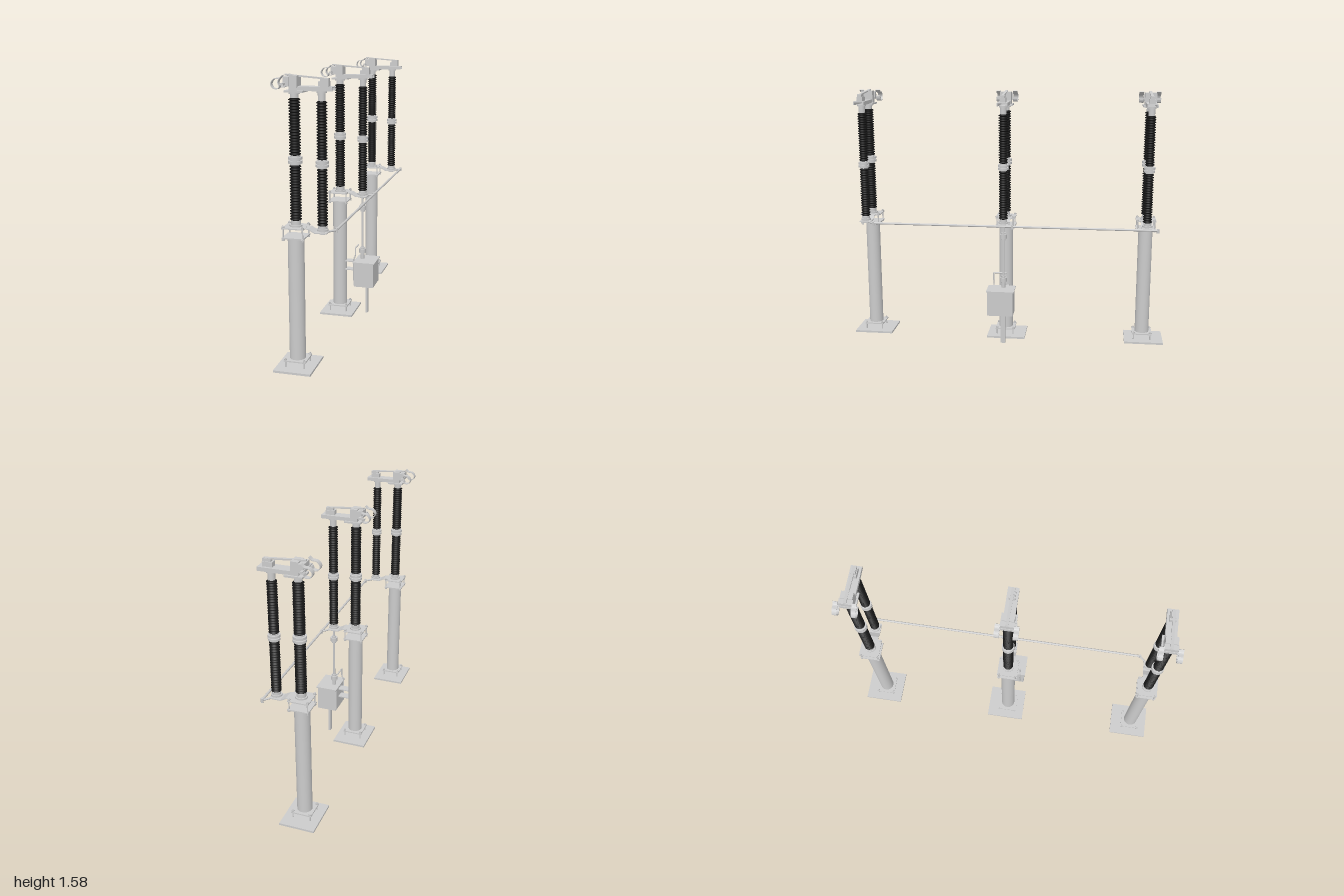
import * as THREE from 'three';

const grey = new THREE.MeshStandardMaterial({ color: 0xcccccc, side: THREE.DoubleSide });
const dark = new THREE.MeshStandardMaterial({ color: 0x141414 });
const V = (x, y, z) => new THREE.Vector3(x, y, z);

function add(parent, name, geometry, x = 0, y = 0, z = 0, material = grey) {
  const mesh = new THREE.Mesh(geometry, material);
  mesh.name = name;
  mesh.position.set(x, y, z);
  parent.add(mesh);
  return mesh;
}

// Box given by its limits in x and y, and its centre and width in z
function block(parent, name, x0, x1, y0, y1, width, z = 0) {
  return add(parent, name, new THREE.BoxGeometry(x1 - x0, y1 - y0, width), (x0 + x1) / 2, (y0 + y1) / 2, z);
}

// Upright cylinder from y0 to y1
function post(parent, name, x, z, y0, y1, r, sides = 24) {
  return add(parent, name, new THREE.CylinderGeometry(r, r, y1 - y0, sides), x, (y0 + y1) / 2, z);
}

// Round bar between two points
function bar(parent, name, a, b, r) {
  const mesh = add(parent, name, new THREE.CylinderGeometry(r, r, a.distanceTo(b), 12));
  mesh.position.copy(a).lerp(b, 0.5);
  mesh.quaternion.setFromUnitVectors(V(0, 1, 0), b.clone().sub(a).normalize());
  return mesh;
}

// Bent strip of metal: a thickened path in xy, extruded across z
function strip(parent, name, points, thickness, width, z = 0) {
  const path = points.map(([x, y]) => new THREE.Vector2(x, y));
  const side = (s) => path.map((p, i) => {
    const t = path[Math.min(i + 1, path.length - 1)].clone().sub(path[Math.max(i - 1, 0)]).normalize();
    return new THREE.Vector2(p.x - t.y * s, p.y + t.x * s);
  });
  const shape = new THREE.Shape([...side(-thickness / 2), ...side(thickness / 2).reverse()]);
  const geometry = new THREE.ExtrudeGeometry(shape, { depth: width, bevelEnabled: false });
  return add(parent, name, geometry, 0, 0, z - width / 2);
}

// Stack of thin sheds between y0 and y1
function sheds(parent, x, y0, y1, r) {
  const count = 20, pitch = (y1 - y0) / count, profile = [new THREE.Vector2(0.001, y0)];
  for (let i = 0; i < count; i++) {
    const y = y0 + i * pitch;
    profile.push(new THREE.Vector2(r * 0.72, y), new THREE.Vector2(r, y + pitch * 0.35),
      new THREE.Vector2(r, y + pitch * 0.5), new THREE.Vector2(r * 0.72, y + pitch * 0.9));
  }
  profile.push(new THREE.Vector2(0.001, y1));
  add(parent, 'insulatorSheds', new THREE.LatheGeometry(profile, 24), x, 0, 0, dark);
}

// Two shed stacks with metal fittings; levels run from the foot to the top
function insulator(parent, x, r, [foot, a, b, c, d, top]) {
  const g = new THREE.Group();
  g.name = 'insulator';
  parent.add(g);
  post(g, 'insulatorFootFlange', x, 0, foot, foot + 0.01, r * 1.1);
  post(g, 'insulatorFoot', x, 0, foot, a, r * 0.85);
  sheds(g, x, a, b, r);
  post(g, 'middleFitting', x, 0, b, c, r * 0.85);
  const h = c - b;
  for (const k of [0.3, 0.7]) {
    post(g, 'middleFlange', x, 0, b + h * (k - 0.14), b + h * (k + 0.14), r * 1.2);
  }
  sheds(g, x, c, d, r);
  post(g, 'insulatorCap', x, 0, d, top, r * 0.7);
  post(g, 'insulatorCapFlange', x, 0, top - 0.012, top, r * 0.95);
}

const COL = -0.073, REAR = 0.074;

function createPole(z) {
  const g = new THREE.Group();
  g.name = 'pole';
  g.position.z = z;

  // Base plate, column and flanges
  block(g, 'basePlate', -0.178, 0.032, 0, 0.012, 0.244, -0.009);
  block(g, 'columnFootFlange', COL - 0.062, COL + 0.062, 0.045, 0.052, 0.124);
  post(g, 'column', COL, 0, 0.05, 0.735, 0.044, 32);
  block(g, 'columnTopFlange', COL - 0.06, COL + 0.06, 0.732, 0.739, 0.124);
  block(g, 'insulatorPlate', COL - 0.06, COL + 0.06, 0.785, 0.791, 0.124);
  for (const sx of [-1, 1]) for (const sz of [-1, 1]) {
    const x = COL + sx * 0.053, bz = sz * 0.052;
    post(g, 'anchorBolt', x, bz, 0.01, 0.064, 0.004, 8);
    post(g, 'spacerBolt', x, bz, 0.722, 0.802, 0.004, 8);
    for (const y of [0.052, 0.722, 0.791]) post(g, 'nut', x, bz, y, y + 0.007, 0.008, 6);
  }

  // Stepped bracket carrying the turning insulator
  strip(g, 'rearBracket', [[-0.02, 0.788], [0.005, 0.786], [0.038, 0.768], [0.105, 0.768]], 0.005, 0.07);
  post(g, 'bearing', REAR, 0, 0.757, 0.785, 0.018);

  insulator(g, COL + 0.002, 0.031, [0.79, 0.823, 1.118, 1.168, 1.462, 1.495]);
  insulator(g, REAR, 0.028, [0.776, 0.802, 1.105, 1.151, 1.45, 1.502]);

  // Crank that meets the coupling bar
  bar(g, 'crank', V(REAR, 0.766, 0), V(0.132, 0.766, -0.062), 0.006);
  post(g, 'crankPin', 0.132, -0.062, 0.752, 0.778, 0.008, 12);

  // Switch head: saddle, channel beam, fixed contact and blade
  block(g, 'headSaddle', -0.112, -0.012, 1.492, 1.502, 0.09);
  block(g, 'headBody', -0.088, -0.045, 1.495, 1.575, 0.07);
  block(g, 'beamWeb', -0.045, 0.138, 1.517, 1.522, 0.062);
  for (const s of [-1, 1]) block(g, 'beamFlange', -0.045, 0.138, 1.5, 1.522, 0.006, s * 0.029);
  block(g, 'contactBlock', 0.06, 0.115, 1.52, 1.548, 0.036);
  block(g, 'contactJaw', 0.07, 0.115, 1.54, 1.564, 0.026);
  strip(g, 'blade', [[-0.118, 1.578], [0.115, 1.56]], 0.008, 0.016);
  block(g, 'terminalPad', -0.118, -0.088, 1.522, 1.568, 0.08);
  block(g, 'terminalCrossbar', -0.122, -0.108, 1.528, 1.54, 0.13);

  // Curled contact fingers on both sides
  const curl = new THREE.CatmullRomCurve3([[-0.112, 1.578], [-0.128, 1.564], [-0.157, 1.56], [-0.173, 1.535],
    [-0.16, 1.513], [-0.134, 1.513], [-0.124, 1.532], [-0.106, 1.534]].map(([x, y]) => V(x, y, 0)));
  const points = curl.getPoints(28).map((p) => [p.x, p.y]);
  for (const s of [-1, 1]) strip(g, 'curledFinger', points, 0.004, 0.028, s * 0.052);
  return g;
}

function createDrive(z) {
  const g = new THREE.Group();
  g.name = 'drive';
  g.position.z = z;

  // Cabinet on its flat leg
  block(g, 'cabinet', 0.042, 0.164, 0.198, 0.355, 0.16, 0.012);
  block(g, 'cabinetLid', 0.034, 0.172, 0.353, 0.359, 0.174, 0.012);
  block(g, 'cabinetDoor', 0.036, 0.044, 0.204, 0.35, 0.15, 0.012);
  block(g, 'cabinetLeg', 0.098, 0.111, 0, 0.2, 0.03);
  for (const y of [0.285, 0.34]) block(g, 'cabinetBracket', -0.035, 0.042, y - 0.003, y + 0.003, 0.05);

  // Drive shaft with couplings
  post(g, 'driveShaft', REAR, 0, 0.355, 0.77, 0.007, 16);
  post(g, 'shaftSocket', REAR, 0, 0.355, 0.4, 0.012, 16);
  for (const y of [0.412, 0.692]) {
    post(g, 'shaftCoupling', REAR, 0, y - 0.013, y + 0.013, 0.022, 16);
    post(g, 'couplingHub', REAR, 0, y - 0.024, y + 0.024, 0.014, 16);
  }

  // Bent hand lever beside the cabinet
  const lever = [V(0.034, 0.23, 0.065), V(0.034, 0.37, 0.065), V(0.045, 0.4, 0.065), V(0.045, 0.445, 0.065), V(0.045, 0.445, -0.015)];
  for (let i = 1; i < lever.length; i++) bar(g, 'handLever', lever[i - 1], lever[i], 0.004);
  return g;
}

export function createModel() {
  const model = new THREE.Group();
  model.name = 'threePoleDisconnector';
  const rows = [0.887, 0.012, -0.869];
  for (const z of rows) model.add(createPole(z));
  model.add(createDrive(rows[1]));

  // Bars coupling the three cranks
  for (let i = 0; i < 2; i++) {
    bar(model, 'couplingBar', V(0.132, 0.768, rows[i] - 0.062), V(0.132, 0.768, rows[i + 1] - 0.062), 0.007);
  }
  return model;
}
